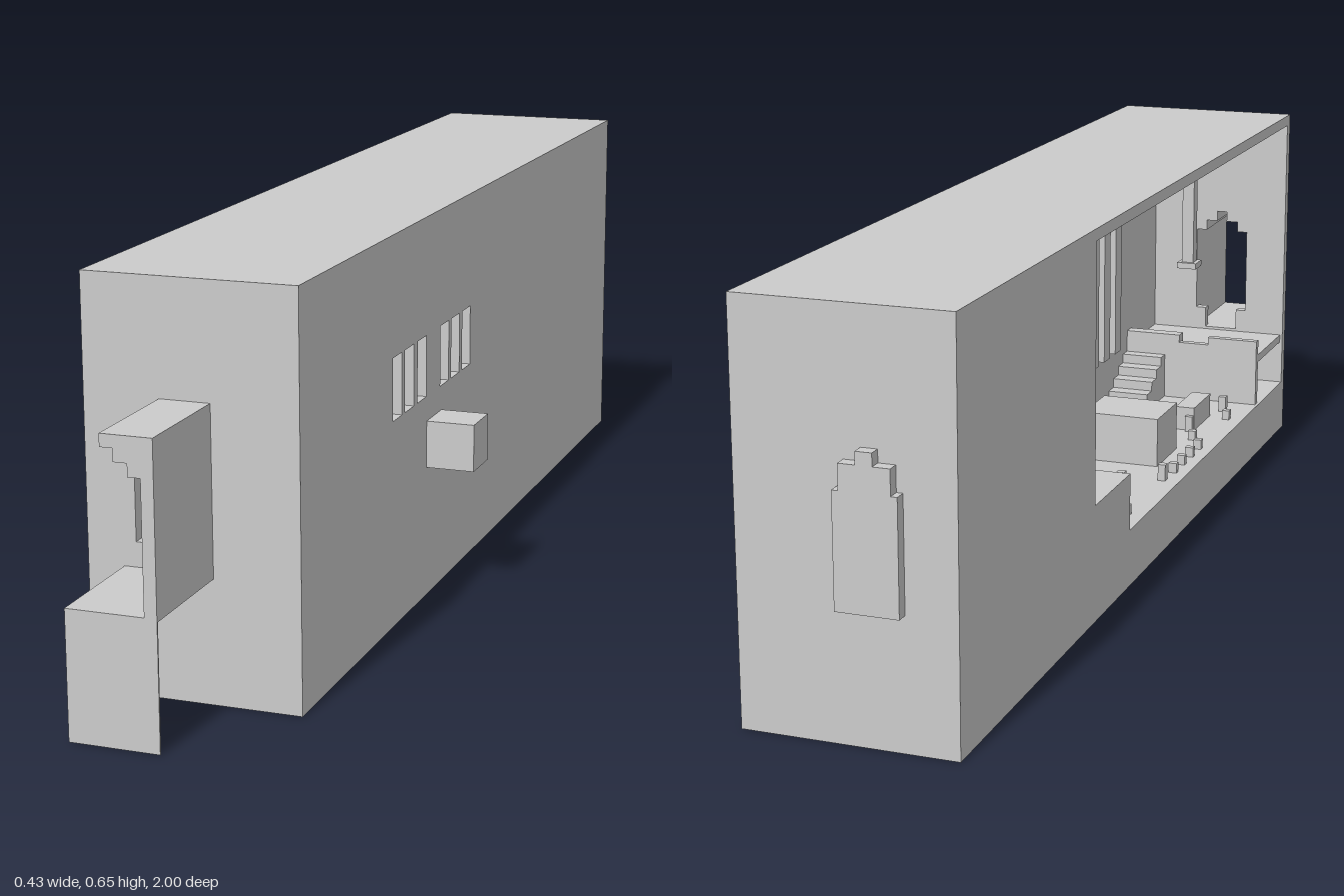
import * as THREE from 'three';

export function createModel() {
  const model = new THREE.Group();
  const mat = new THREE.MeshStandardMaterial({ color: 0xcccccc, flatShading: true, side: THREE.DoubleSide });

  const add = (name, geo) => {
    const m = new THREE.Mesh(geo, mat);
    m.name = name;
    model.add(m);
    return m;
  };
  // Box given by its limits on each axis
  const box = (name, x0, x1, y0, y1, z0, z1) =>
    add(name, new THREE.BoxGeometry(x1 - x0, y1 - y0, z1 - z0))
      .position.set((x0 + x1) / 2, (y0 + y1) / 2, (z0 + z1) / 2);
  const points = (list) => list.map(([x, y]) => new THREE.Vector2(x, y));
  const rect = (a, b, c, d) => [[a, c], [b, c], [b, d], [a, d]];
  const extrude = (outline, holes, depth) => {
    const shape = new THREE.Shape(points(outline));
    holes.forEach((h) => shape.holes.push(new THREE.Path(points(h))));
    return new THREE.ExtrudeGeometry(shape, { depth, bevelEnabled: false });
  };
  // Wall drawn in (z, y) and extruded towards -x from x
  const sideWall = (name, outline, holes, x, depth) => {
    const m = add(name, extrude(outline, holes, depth));
    m.rotation.y = -Math.PI / 2;
    m.position.x = x;
  };

  // Outer shell
  const X0 = -0.215, X1 = 0.13, Z0 = -0.98, Z1 = 0.8, H = 0.655;
  box('roof', X0, X1, 0.64, H, Z0, Z1);
  box('rearWall', X0, X1, 0, 0.64, Z0, Z0 + 0.02);

  // Right wall with two groups of three recessed windows
  const windows = [0.37, 0.31, 0.245, 0.125, 0.065, 0.003]
    .map((z) => rect(z - 0.023, z + 0.023, 0.35, 0.455));
  const sideOutline = rect(Z0, Z1, 0, 0.64);
  sideWall('windowWall', sideOutline, windows, X1, 0.045);
  box('windowWallBacking', 0.06, 0.085, 0, 0.64, -0.74, 0.78);

  // Left wall with the large cutaway
  const cutaway = [[-0.4, 0.2], [-0.22, 0.2], [-0.22, 0.1], [0.785, 0.1], [0.785, 0.64], [-0.4, 0.64]];
  cutaway[4][1] = cutaway[5][1] = 0.635;
  sideWall('cutawayWall', sideOutline, [cutaway], X0 + 0.015, 0.015);

  // Front wall with the stepped arch doorway
  const arch = [
    [-0.115, 0.205], [-0.05, 0.205], [-0.05, 0.245], [-0.03, 0.245], [-0.03, 0.41], [-0.05, 0.41],
    [-0.05, 0.43], [-0.072, 0.43], [-0.072, 0.45], [-0.092, 0.45], [-0.092, 0.43], [-0.115, 0.43],
    [-0.115, 0.41], [-0.135, 0.41], [-0.135, 0.245], [-0.115, 0.245],
  ];
  add('frontWall', extrude(rect(X0, X1, 0, 0.64), [arch], 0.02)).position.z = 0.78;

  // Porch: half of a stepped arch tunnel on an open base
  const halfArch = [
    [-0.01, 0.205], [-0.01, 0.47], [-0.092, 0.47], [-0.092, 0.45], [-0.072, 0.45], [-0.072, 0.43],
    [-0.05, 0.43], [-0.05, 0.41], [-0.03, 0.41], [-0.03, 0.245], [-0.05, 0.245], [-0.05, 0.205],
  ];
  halfArch.splice(10, 2, [-0.03, 0.205]);
  add('porchArch', extrude(halfArch, [], 0.2)).position.z = 0.8;
  box('porchFloor', -0.155, -0.01, 0.2, 0.205, 0.8, 1);
  box('porchFrontPanel', -0.155, -0.01, 0, 0.205, 0.997, 1);
  box('porchSidePanel', -0.155, -0.152, 0, 0.205, 0.8, 1);

  // Rear plaque and side block
  add('rearPlaque', extrude([
    [-0.133, 0.21], [-0.033, 0.21], [-0.033, 0.39], [-0.043, 0.39], [-0.043, 0.43], [-0.07, 0.43],
    [-0.07, 0.45], [-0.096, 0.45], [-0.096, 0.43], [-0.123, 0.43], [-0.123, 0.39], [-0.133, 0.39],
  ], [], 0.02)).position.z = -1;
  box('sideBlock', 0.13, 0.213, 0.226, 0.307, 0.14, 0.22);

  // Interior floors; the last rear bay stays open underneath
  box('mainFloor', X0, 0.13, 0, 0.1, -0.74, 0.8);
  box('raisedRearFloor', -0.2, 0.06, 0.1, 0.2, -0.74, -0.22);
  box('rearPartition', -0.2, 0.115, 0, 0.64, -0.74, -0.72);
  box('entryPlatform', -0.21, 0.06, 0.185, 0.2, 0.6, 0.78);
  box('wallLedge', 0, 0.06, 0.1, 0.25, -0.22, 0.22);

  // Stepped parapet at the edge of the entry platform
  box('parapet', -0.21, -0.11, 0.1, 0.23, 0.595, 0.61);
  box('parapetStep', -0.11, -0.05, 0.1, 0.215, 0.595, 0.61);
  box('parapetPost', -0.05, 0.06, 0.1, 0.23, 0.595, 0.62);

  // Pilasters on the window wall and short stubs under the ceiling
  for (let i = 0; i < 3; i++) box('pilaster', 0.035, 0.06, 0.22, 0.64, 0.31 + i * 0.067, 0.345 + i * 0.067);
  for (let i = 0; i < 5; i++) box('ceilingStub', 0.04, 0.06, 0.45 - (i % 2) * 0.02, 0.64, -0.05 + i * 0.065, -0.02 + i * 0.065);

  // Hanging lamps
  for (const z of [0.03, 0.74]) {
    box('lampStem', -0.037, -0.013, 0.35, 0.64, z - 0.012, z + 0.012);
    box('lampPlate', -0.045, -0.005, 0.338, 0.35, z - 0.02, z + 0.02);
  }

  // Furniture
  box('largeTable', -0.15, -0.007, 0.1, 0.19, 0.136, 0.256);
  box('bench', -0.147, -0.11, 0.1, 0.145, 0.38, 0.49);
  box('rearBarrier', -0.19, -0.06, 0.1, 0.165, -0.19, -0.175);

  // Stairs climbing to the entry platform
  for (let i = 0; i < 5; i++) box('stair', -0.02, 0.06, 0.1, 0.115 + i * 0.018, 0.45 + i * 0.03, 0.48 + i * 0.03);

  // Small stools and debris on the floor
  for (let i = 0; i < 14; i++) {
    const x = -0.19 + ((i * 5) % 4) * 0.022, z = -0.15 + i * 0.052;
    if (z > 0.11 && z < 0.28) box('stool', -0.195, -0.18, 0.1, 0.118, z, z + 0.012);
    else box('stool', x, x + 0.014, 0.1, 0.118 + (i % 3) * 0.012, z, z + 0.014);
  }
  return model;
}
